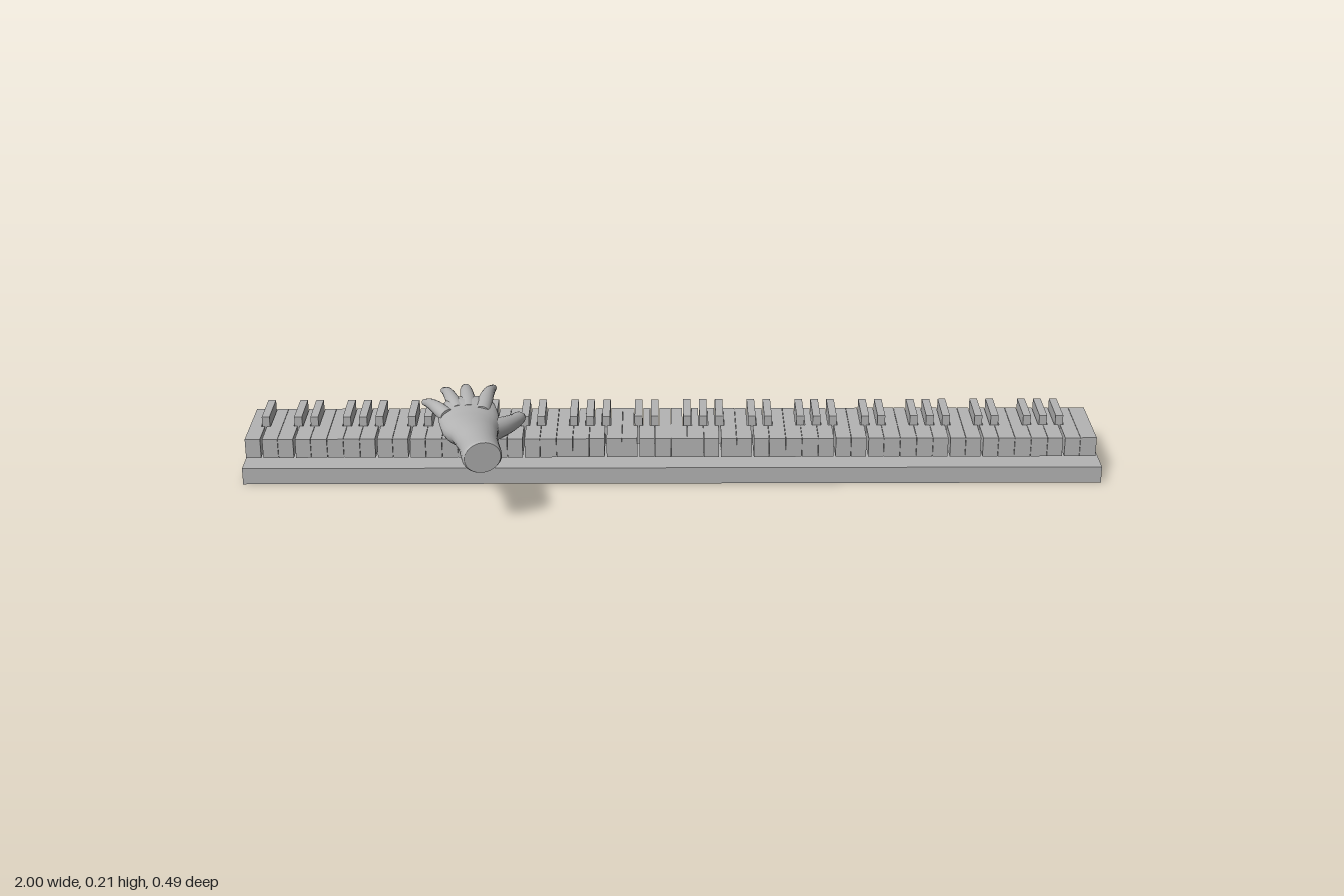
import * as THREE from 'three';

const grey = new THREE.MeshStandardMaterial({ color: 0xb4b4b4 });
grey.name = 'plain grey';

const KEYS = 52, STEP = 0.03816, LEFT = -0.995;
const FRONT = -0.039, BACK = -0.221, BLACK_FRONT = -0.118, KEY_Y = 0.053;
const BLACK_W = 0.018;

function add(group, name, geometry) {
  const mesh = new THREE.Mesh(geometry, grey);
  mesh.name = name;
  group.add(mesh);
  return mesh;
}

// Note of a white key in its octave, 0 = C ... 6 = B; the lowest key is an A
const note = (i) => (i + 5) % 7;
// Is there a black key between white keys i and i + 1?
const hasBlack = (i) => i >= 0 && i < KEYS - 1 && note(i) !== 2 && note(i) !== 6;
// Wider slots beside the C sharp and A sharp
const gapAfter = (i) => (hasBlack(i) && (note(i) === 0 || note(i) === 5) ? 0.0025 : 0.0004);

// White key outline seen from above, notched beside the black keys
function whiteKey(i) {
  const x0 = LEFT + i * STEP, x1 = x0 + STEP;
  const a = x0 + gapAfter(i - 1), b = x1 - gapAfter(i);
  const notch = BLACK_W / 2 + 0.002;
  const a2 = hasBlack(i - 1) ? x0 + notch : a;
  const b2 = hasBlack(i) ? x1 - notch : b;
  const n = -BLACK_FRONT - 0.002;
  const shape = new THREE.Shape([
    [a, -FRONT], [b, -FRONT], [b, n], [b2, n], [b2, -BACK], [a2, -BACK], [a2, n], [a, n],
  ].map(([x, y]) => new THREE.Vector2(x, y)));
  const g = new THREE.ExtrudeGeometry(shape, { depth: 0.047, bevelEnabled: false });
  return g.rotateX(-Math.PI / 2).translate(0, KEY_Y, 0);
}

// Smooth limb through sections [x, y, z, half width, half height],
// flat at the start and rounded at the tip
function limb(sections, rings = 18, sides = 20) {
  const path = new THREE.CatmullRomCurve3(sections.map((s) => new THREE.Vector3(s[0], s[1], s[2])));
  const size = new THREE.CatmullRomCurve3(sections.map((s) => new THREE.Vector3(s[3], s[4], 0)));
  const pos = [], index = [];
  const ring = (t, shift, scale) => {
    const tan = path.getTangent(t), r = size.getPoint(t);
    const side = tan.clone().cross(new THREE.Vector3(0, 1, 0)).normalize();
    const up = side.clone().cross(tan);
    const c = path.getPoint(t).addScaledVector(tan, shift * r.y);
    for (let k = 0; k < sides; k++) {
      const a = (k / sides) * Math.PI * 2;
      const p = c.clone()
        .addScaledVector(side, Math.cos(a) * r.x * scale)
        .addScaledVector(up, Math.sin(a) * r.y * scale);
      pos.push(p.x, p.y, p.z);
    }
  };
  for (let i = 0; i <= rings; i++) ring(i / rings, 0, 1);
  for (let i = 1; i <= 5; i++) {
    const a = (i / 5) * Math.PI / 2;
    ring(1, Math.sin(a), Math.max(Math.cos(a), 0.01));
  }
  for (let i = 0; i < rings + 5; i++) {
    for (let k = 0; k < sides; k++) {
      const a = i * sides + k, b = i * sides + (k + 1) % sides;
      index.push(a, a + sides, b + sides, a, b + sides, b);
    }
  }
  // Separate flat disc closing the start
  const base = pos.length / 3;
  pos.push(...pos.slice(0, sides * 3), ...path.getPoint(0).toArray());
  for (let k = 0; k < sides; k++) index.push(base + sides, base + k, base + (k + 1) % sides);
  const g = new THREE.BufferGeometry();
  g.setAttribute('position', new THREE.Float32BufferAttribute(pos, 3));
  g.setIndex(index);
  g.computeVertexNormals();
  return g;
}

export function createModel() {
  const model = new THREE.Group();
  model.name = 'handOverKeyboard';

  // Base slab
  add(model, 'baseBoard', new THREE.BoxGeometry(2, 0.04, 0.24)).position.set(0, 0.02, -0.127);

  // Keys
  const keys = new THREE.Group();
  keys.name = 'keys';
  model.add(keys);
  const blackGeo = new THREE.BoxGeometry(BLACK_W, 0.07, BLACK_FRONT - BACK);
  for (let i = 0; i < KEYS; i++) {
    add(keys, 'whiteKey', whiteKey(i));
    if (hasBlack(i)) {
      add(keys, 'blackKey', blackGeo)
        .position.set(LEFT + (i + 1) * STEP, KEY_Y + 0.035, (BLACK_FRONT + BACK) / 2);
    }
  }

  // Left hand, palm down, with a cut forearm
  const hand = new THREE.Group();
  hand.name = 'hand';
  model.add(hand);
  add(hand, 'forearmAndPalm', limb([
    [-0.419, 0.175, 0.235, 0.041, 0.036],
    [-0.421, 0.175, 0.228, 0.045, 0.038],
    [-0.432, 0.174, 0.17, 0.045, 0.035],
    [-0.447, 0.171, 0.1, 0.053, 0.033],
    [-0.459, 0.163, 0.05, 0.066, 0.037],
    [-0.468, 0.168, 0.0, 0.070, 0.031],
    [-0.474, 0.180, -0.04, 0.064, 0.021],
    [-0.478, 0.184, -0.062, 0.052, 0.014],
  ], 28, 28));
  const fingers = {
    littleFinger: [
      [-0.515, 0.178, 0.01, 0.018, 0.017], [-0.540, 0.180, -0.03, 0.016, 0.016],
      [-0.563, 0.172, -0.08, 0.012, 0.012], [-0.580, 0.161, -0.115, 0.008, 0.008]],
    ringFinger: [
      [-0.492, 0.182, -0.01, 0.018, 0.017], [-0.508, 0.186, -0.06, 0.017, 0.016],
      [-0.525, 0.182, -0.12, 0.013, 0.013], [-0.540, 0.165, -0.178, 0.009, 0.008]],
    middleFinger: [
      [-0.468, 0.183, -0.01, 0.019, 0.017], [-0.474, 0.187, -0.065, 0.018, 0.016],
      [-0.483, 0.184, -0.13, 0.014, 0.014], [-0.490, 0.165, -0.198, 0.009, 0.008]],
    indexFinger: [
      [-0.438, 0.182, 0.0, 0.020, 0.017], [-0.434, 0.186, -0.06, 0.018, 0.016],
      [-0.430, 0.183, -0.12, 0.014, 0.014], [-0.425, 0.166, -0.190, 0.009, 0.008]],
    thumb: [
      [-0.425, 0.158, 0.06, 0.024, 0.026], [-0.394, 0.151, 0.01, 0.024, 0.023],
      [-0.368, 0.145, -0.035, 0.018, 0.018], [-0.357, 0.142, -0.065, 0.016, 0.015],
      [-0.352, 0.138, -0.080, 0.010, 0.010]],
  };
  for (const [name, sections] of Object.entries(fingers)) add(hand, name, limb(sections));

  return model;
}
